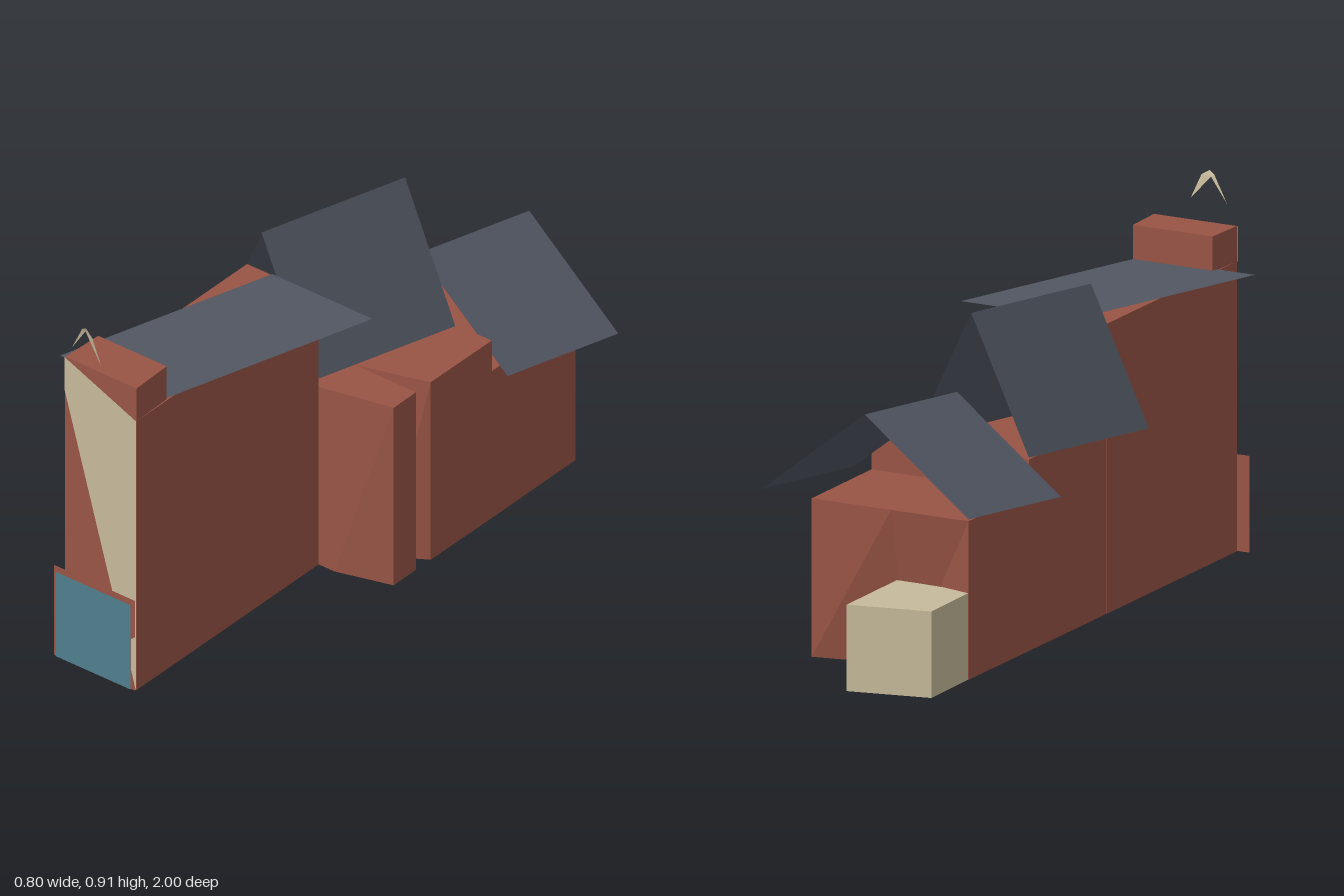
import * as THREE from 'three';

const mat = (name, color, side = THREE.FrontSide) => {
  const m = new THREE.MeshStandardMaterial({ color, side });
  m.name = name;
  return m;
};

export function createModel() {
  const group = new THREE.Group();
  group.name = 'terraceOfHouses';
  const brick = mat('brickRed', 0x985445, THREE.DoubleSide);
  const stone = mat('paleStone', 0xc6ba9b, THREE.DoubleSide);
  const slate = mat('slateGrey', 0x515662, THREE.DoubleSide);
  const teal = mat('tealBlue', 0x507e8d, THREE.DoubleSide);

  const addFaces = (name, material, positions) => {
    const g = new THREE.BufferGeometry();
    g.setAttribute('position', new THREE.Float32BufferAttribute(positions.flat(), 3));
    g.computeVertexNormals();
    const mesh = new THREE.Mesh(g, material);
    mesh.name = name;
    group.add(mesh);
  };

  // Block between a floor outline and a top outline of [x, z] points,
  // listed counter-clockwise as seen from above
  const block = (name, material, y0, y1, top, bottom = top) => {
    const cap = (pts) => THREE.ShapeUtils.triangulateShape(pts.map(([x, z]) => new THREE.Vector2(x, -z)), []);
    const t = ([x, z]) => [x, y1, z];
    const b = ([x, z]) => [x, y0, z];
    const out = [];
    for (const f of cap(top)) out.push(...f.map((i) => t(top[i])));
    for (const f of cap(bottom)) out.push(...f.slice().reverse().map((i) => b(bottom[i])));
    top.forEach((p, i) => {
      const j = (i + 1) % top.length;
      out.push(b(bottom[i]), b(bottom[j]), t(top[j]));
      out.push(b(bottom[i]), t(top[j]), t(p));
    });
    addFaces(name, material, out.flat().length ? out : []);
  };

  // Flat sheet of [x, y] points facing the front
  const plate = (name, material, z, pts) => {
    const mesh = new THREE.Mesh(
      new THREE.ShapeGeometry(new THREE.Shape(pts.map(([x, y]) => new THREE.Vector2(x, y)))), material);
    mesh.position.z = z;
    mesh.name = name;
    group.add(mesh);
  };

  // One thin sloping roof sheet from (xa, ya) to (xb, yb), with xa < xb
  const roofSheet = (name, xa, ya, xb, yb, z0, z1) => {
    const [a, b, c, d] = [[xa, ya, z1], [xb, yb, z1], [xb, yb, z0], [xa, ya, z0]];
    addFaces(name, slate, [a, b, c, a, c, d]);
  };

  // Front house and its raised parapet
  block('frontHouse', brick, 0, 0.704,
    [[-0.085, 0.15], [0.165, 0.15], [0.165, 0.151], [0.4, 0.96], [0.15, 0.96]].filter((_, i) => i !== 1 && i !== 2)
      .toSpliced(0, 1, [0.15, 0.96]).slice(0, 2).concat([[0.165, 0.15], [-0.085, 0.15]]));
  block('frontParapet', brick, 0.704, 0.79, [[0.15, 0.96], [0.4, 0.96], [0.355, 0.82], [0.115, 0.82]]);

  // Middle house with two side wings, the walls between them leaning outwards
  const middleTop = [[-0.085, 0.149], [0.165, 0.149], [0.375, 0.1], [0.345, 0], [0.13, 0],
    [0.327, -0.065], [0.25, -0.335], [-0.225, -0.335]];
  const middleBottom = middleTop.map((p) => [...p]);
  middleBottom[1] = [0.22, 0.149];
  middleBottom[4] = [0.24, 0];
  block('middleHouse', brick, 0, 0.465, middleTop, middleBottom);

  // Rear house, its back wall folded inwards at the floor
  const rearTop = [[-0.225, -0.335], [0.25, -0.335], [0.14, -0.71], [-0.1, -0.71], [-0.333, -0.71]];
  const rearBottom = rearTop.map((p) => [...p]);
  rearBottom[3] = [-0.1, -0.65];
  block('rearHouse', brick, 0, 0.385, rearTop, rearBottom);

  // Low stone annex at the back
  block('rearAnnex', stone, 0, 0.21, [[-0.325, -0.69], [-0.095, -0.68], [-0.19, -1], [-0.403, -0.945]]);

  // Roofs: one flat sheet and two open pitched pairs
  roofSheet('frontRoof', 0.003, 0.707, 0.355, 0.707, 0.15, 0.84);
  roofSheet('middleRoofRight', -0.217, 0.467, -0.043, 0.798, -0.325, 0.142);
  roofSheet('middleRoofLeft', -0.043, 0.798, 0.133, 0.467, -0.325, 0.142);
  roofSheet('rearRoofRight', -0.325, 0.387, -0.012, 0.605, -0.7, -0.34);
  roofSheet('rearRoofLeft', -0.012, 0.605, 0.3, 0.387, -0.7, -0.34);

  // Front facade: stone facing, brick surround and shop window
  plate('facadeStone', stone, 0.962, [[0.15, 0.79], [0.15, 0.705], [0.4, 0], [0.4, 0.705]]);
  plate('shopSurround', brick, 0.9645,
    [[0.115, 0], [0.4, 0], [0.385, 0.04], [0.385, 0.13], [0.4, 0.14], [0.4, 0.235], [0.115, 0.235]]);
  plate('shopWindow', teal, 0.968, [[0.125, 0], [0.388, 0], [0.388, 0.221], [0.125, 0.221]]);

  // Small folded ornament hovering over the parapet
  const tip = [0.255, 0.909, 0.99];
  const inner = [0.245, 0.895, 0.982];
  const elbow = [0.285, 0.895, 0.997];
  addFaces('ornamentRightWing', stone, [[0.195, 0.835, 0.98], inner, [0.237, 0.9, 0.985], inner, tip, [0.237, 0.9, 0.985]]);
  addFaces('ornamentLeftWing', stone, [inner, elbow, tip, inner, [0.32, 0.833, 1], elbow]);

  return group;
}
